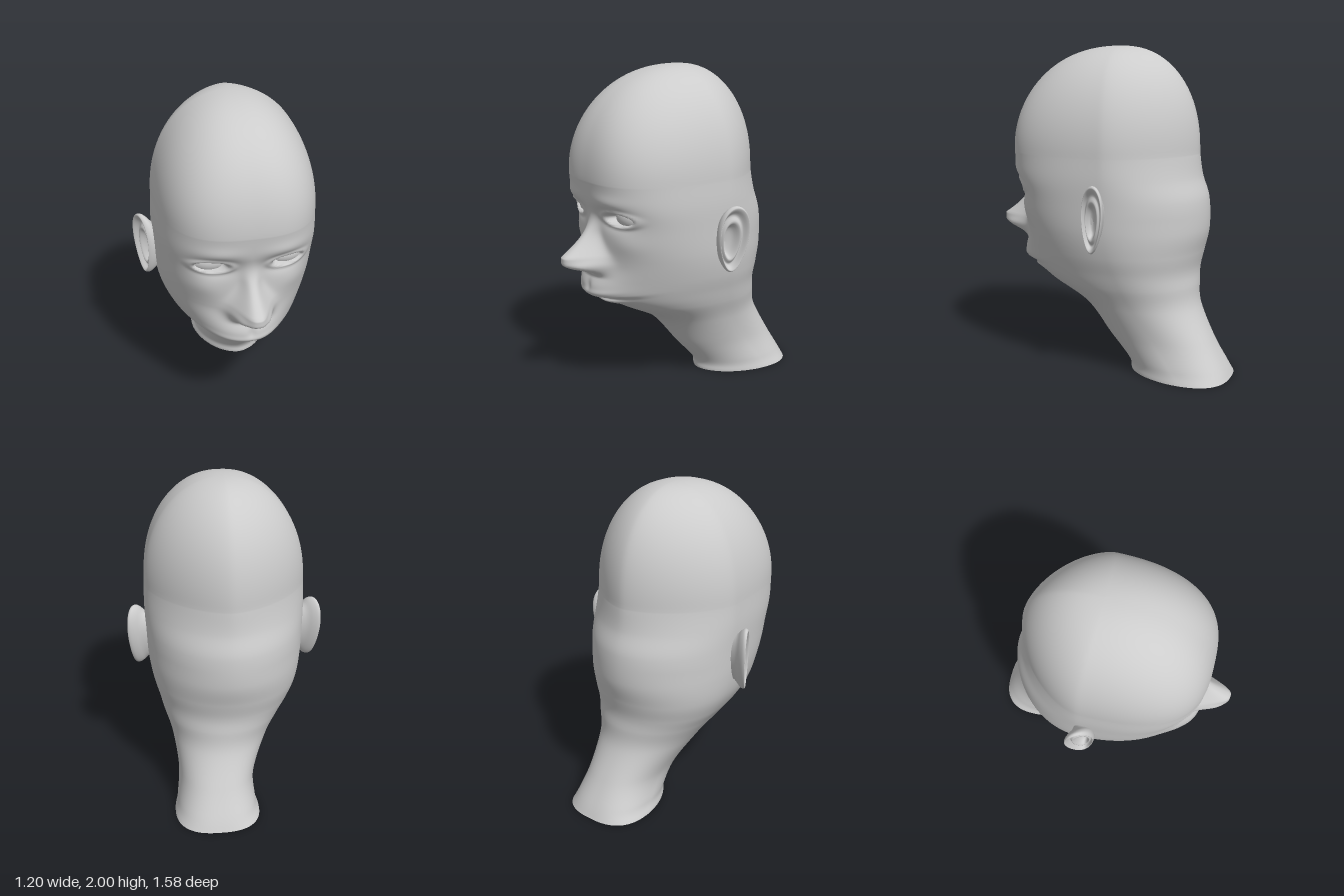
import * as THREE from 'three';

// Outline below the brow, from neck to brow: y, right x, left x, front z, back z
const OUTLINE = [
  [0, -.17, .355, -.15, -.79],
  [.07, -.15, .335, -.132, -.755],
  [.22, -.152, .318, 0, -.67],
  [.42, -.25, .348, .165, -.57],
  [.56, -.34, .394, .42, -.55],
  [.65, -.4, .42, .525, -.547],
  [.76, -.45, .452, .56, -.57],
  [.9, -.475, .475, .565, -.6],
  [1.08, -.485, .485, .57, -.595],
  [1.22, -.49, .49, .607, -.555],
  [1.36, -.485, .485, .628, -.537],
];
const BROW = 1.36, CROWN = 2;
const EYE = { x: .225, y: 1.152, w: .092, h: .036 };

const { smoothstep } = THREE.MathUtils;
const bump = (dx, dy, sx, sy) => Math.exp(-((dx / sx) ** 2) - (dy / sy) ** 2);
const dome = (t, n) => Math.pow(Math.max(0, 1 - t ** n), 1 / n);

// Closed loops of points joined into one smooth skin
function skin(rows, cols, point) {
  const pos = [], index = [];
  for (let i = 0; i <= rows; i++) {
    for (let j = 0; j < cols; j++) pos.push(...point(i, j));
  }
  for (let i = 0; i < rows; i++) {
    for (let j = 0; j < cols; j++) {
      const a = i * cols + j, b = i * cols + (j + 1) % cols;
      index.push(a, b, b + cols, a, b + cols, a + cols);
    }
  }
  const g = new THREE.BufferGeometry();
  g.setAttribute('position', new THREE.Float32BufferAttribute(pos, 3));
  g.setIndex(index);
  g.computeVertexNormals();
  return g;
}

// Forward offset of the face at x, y
function relief(x, y) {
  const ax = Math.abs(x);
  // nose: a curved ridge that drops under the tip, with wings and nostrils
  const bridge = Math.min(1, Math.max(0, (1.2 - y) / .29)) ** 2;
  const halfWidth = .112 - .062 * smoothstep(y, .84, 1.06);
  let d = .222 * bridge * smoothstep(y, .765, .87) * Math.exp(-Math.pow(ax / halfWidth, 2.6));
  d += .025 * bump(ax - .09, y - .85, .03, .035);
  d -= .03 * bump(ax - .05, y - .81, .022, .014);
  // brows, sockets and cheekbones
  d += .012 * bump(ax - .2, y - 1.245, .13, .045);
  d -= .045 * bump(ax - .2, y - 1.15, .12, .06);
  d += .012 * bump(ax - .28, y - 1, .1, .07);
  // eyelids round an almond opening
  const e = Math.hypot((ax - EYE.x) / EYE.w, (y - EYE.y) / EYE.h);
  d += .016 * Math.exp(-(((e - 1.25) / .3) ** 2));
  if (e < 1) d -= .06 * Math.min(1, (1 - e) * 4);
  // muzzle overhanging the mouth, set off to one side, then the lips
  const m = x + .05;
  const line = .632 + .35 * m * m;
  d += .075 * smoothstep(y, line - .022, line + .012) * (1 - smoothstep(y, .68, .86))
    * Math.exp(-Math.pow(Math.abs(m) / .25, 3));
  d += Math.exp(-Math.pow(m / .22, 4)) * (.015 * bump(0, y - line - .03, 1, .022)
    - .02 * bump(0, y - line + .006, 1, .009)
    + .05 * bump(0, y - line + .032, 1, .022));
  return d - .01 * bump(x, y - .71, .025, .035);
}

// Loops up the neck and face along the outline, then over the domed skull
function headLoops() {
  const spline = (a, b) => new THREE.CatmullRomCurve3(
    OUTLINE.map(r => new THREE.Vector3(r[a], r[0], r[b])), false, 'catmullrom');
  const sides = spline(1, 2), depth = spline(3, 4);
  const loops = [], faceRows = 160, domeRows = 36;
  for (let i = 0; i <= faceRows; i++) {
    const s = sides.getPoint(i / faceRows), d = depth.getPoint(i / faceRows);
    const mid = -.08 - .46 * Math.pow(Math.max(0, 1 - s.y / 1.1), 2.2);
    loops.push({ y: s.y, right: s.x, left: s.z, front: d.x, back: d.z, mid });
  }
  const brow = loops[faceRows];
  for (let i = 1; i <= domeRows; i++) {
    const t = Math.sin(i / domeRows * Math.PI / 2);
    const mid = brow.mid + .05 * t * t, round = dome(t, 2.1);
    loops.push({
      y: BROW + (CROWN - BROW) * t,
      right: brow.right * round,
      left: brow.left * round,
      front: mid + (brow.front - brow.mid) * round,
      back: mid + (brow.back - brow.mid) * dome(t, 2.4),
      mid,
    });
  }
  return loops;
}

function headGeometry() {
  const loops = headLoops(), cols = 192;
  return skin(loops.length - 1, cols, (i, j) => {
    const { y, right, left, front, back, mid } = loops[i];
    // points are closer together on the face
    const t = (j / cols) * Math.PI * 2;
    const a = t - .4 * Math.sin(t);
    const s = Math.sin(a), c = Math.cos(a);
    // forehead is squarer than the jaw and throat, nape squarer than the back of the skull
    const n = c > 0
      ? 1.8 + .3 * smoothstep(y, .1, .45) + .7 * smoothstep(y, .7, 1.2) - .5 * smoothstep(y, 1.4, CROWN)
      : 2.6 - .6 * smoothstep(y, 0, .5) - .12 * smoothstep(y, .7, 1) - .28 * smoothstep(y, 1, 1.4);
    const r = Math.pow(Math.abs(s) ** n + Math.abs(c) ** n, -1 / n);
    const x = (left + right) / 2 + (left - right) / 2 * s * r;
    const z = mid + (c > 0 ? front - mid : mid - back) * c * r;
    const face = smoothstep(c, .15, .5) * smoothstep(y, .48, .56);
    return [x, y, z + face * relief(x, y)];
  });
}

// Ear: profile from the hollow out over the rim, then back to the skull (scale, depth)
function earGeometry() {
  const profile = new THREE.SplineCurve([
    [.01, -.06], [.36, -.048], [.56, -.006], [.74, -.022], [.88, .002],
    [.96, .008], [1, -.01], [.93, -.035], [.76, -.07], [.65, -.14],
  ].map(p => new THREE.Vector2(...p)));
  const rows = 36, cols = 48;
  return skin(rows, cols, (i, j) => {
    const { x: k, y: depth } = profile.getPoint(i / rows);
    const a = -(j / cols) * Math.PI * 2;
    // the hollow sits low and forward, the lobe is narrower than the top
    const inner = Math.max(0, 1 - k);
    const up = Math.sin(a) * k - .12 * inner;
    const backward = Math.cos(a) * k * .08 * (1 + .22 * up) - .015 * inner;
    return [
      .55 + .48 * backward + .012 * up + depth,
      1.01 + .203 * up,
      -.062 - backward - .012 * up,
    ];
  });
}

export function createModel() {
  const clay = new THREE.MeshStandardMaterial({ color: 0xcccccc, side: THREE.DoubleSide });
  clay.name = 'light grey clay';
  const model = new THREE.Group();
  model.name = 'headBust';
  const add = (name, geometry) => {
    const mesh = new THREE.Mesh(geometry, clay);
    mesh.name = name;
    model.add(mesh);
    return mesh;
  };

  add('headAndNeck', headGeometry());

  const ear = earGeometry();
  const eye = new THREE.SphereGeometry(1, 32, 20);
  for (const side of [1, -1]) {
    const label = side > 0 ? 'left' : 'right';
    add(label + 'Ear', ear).scale.x = side;
    const ball = add(label + 'Eyeball', eye);
    ball.scale.set(.13, .085, .1);
    ball.position.set(side * EYE.x, EYE.y, .415);
    ball.rotation.y = side * .2;
  }
  return model;
}
